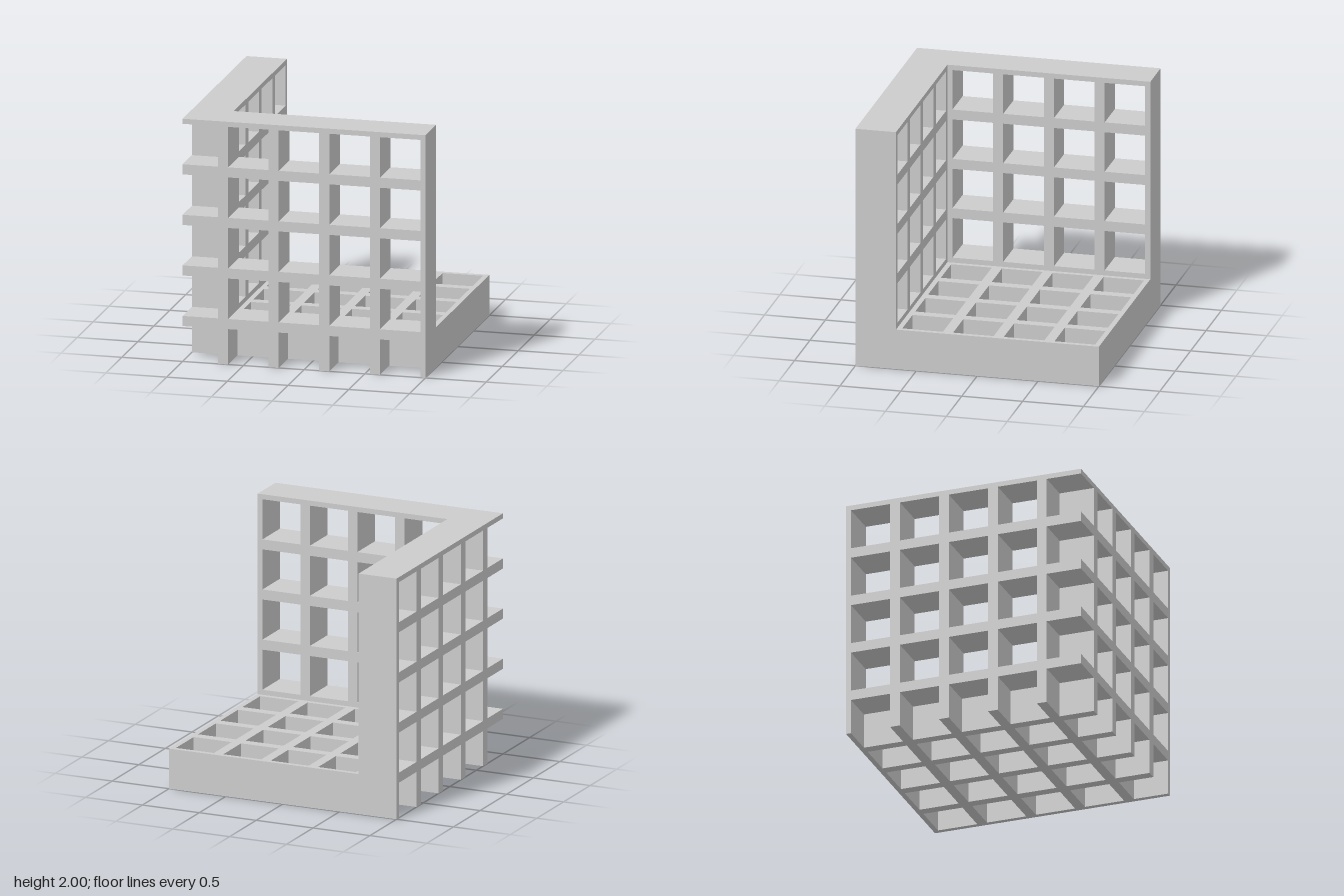
import * as THREE from 'three';

const SIZE = 2;            // overall edge length
const DEPTH = SIZE / 6;    // depth of each lattice wall
const PITCH = 5 / 12;      // spacing of the plates
const THICK = 1 / 12;      // plate thickness

// L-shaped plate: two arms of width DEPTH meeting at the origin corner
function plateGeometry(reach, thickness) {
  const outline = [[0, 0], [reach, 0], [reach, DEPTH], [DEPTH, DEPTH], [DEPTH, reach], [0, reach]];
  const shape = new THREE.Shape(outline.map(([a, b]) => new THREE.Vector2(a, b)));
  return new THREE.ExtrudeGeometry(shape, { depth: thickness, bevelEnabled: false });
}

export function createModel() {
  const model = new THREE.Group();
  model.name = 'cornerLattice';
  const material = new THREE.MeshStandardMaterial({ color: 0xcccccc, flatShading: true });

  const families = {
    uprightSidePlates: new THREE.Group(), // across x: front wall and floor
    levelPlates: new THREE.Group(),       // across y: front wall and side wall
    uprightCrossPlates: new THREE.Group() // across z: side wall and floor
  };
  for (const [name, group] of Object.entries(families)) {
    group.name = name;
    model.add(group);
  }

  for (let i = 0; i < 5; i++) {
    const last = i === 4;
    const start = DEPTH + i * PITCH - THICK / 2;
    // the outermost plate is half thick; inner plates end inside it
    const thickness = last ? THICK / 2 : THICK;
    const geometry = plateGeometry(last ? SIZE : SIZE - 0.02, thickness);

    const add = (group, name, x, y, z) => {
      const mesh = new THREE.Mesh(geometry, material);
      mesh.name = name + (i + 1);
      mesh.position.set(x, y, z);
      group.add(mesh);
      return mesh;
    };

    add(families.uprightSidePlates, 'sidePlate', start - 1, 0, 1).rotation.y = Math.PI / 2;
    add(families.levelPlates, 'levelPlate', -1, start, 1).rotation.x = -Math.PI / 2;
    add(families.uprightCrossPlates, 'crossPlate', -1, 0, 1 - start - thickness);
  }
  return model;
}
